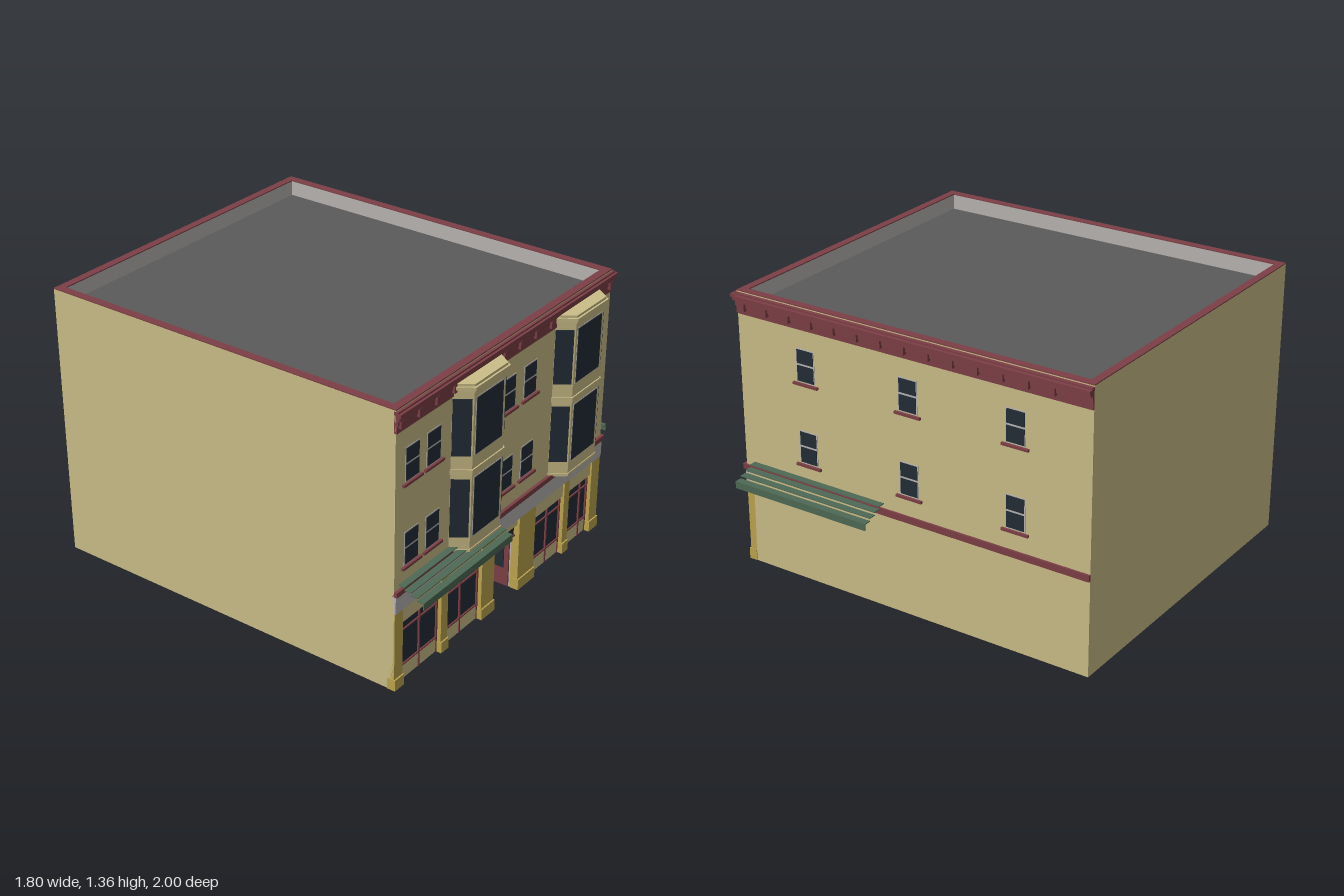
import * as THREE from 'three';

export function createModel() {
  const root = new THREE.Group();
  root.name = 'cornerShopBuilding';
  const mat = (name, color) => Object.assign(new THREE.MeshStandardMaterial({ color }), { name });
  const cream = mat('cream wall', 0xcbbe88);
  const ochre = mat('ochre pilaster', 0xbda54f);
  const red = mat('dark red trim', 0x7d3f46);
  const glass = mat('dark glass', 0x222c36);
  const grey = mat('light grey', 0xb9b5b2);
  const roofGrey = mat('roof grey', 0x5b5b5b);
  const green = mat('awning green', 0x4f6a56);

  const add = (parent, name, geo, m) => {
    const mesh = new THREE.Mesh(geo, m);
    mesh.name = name;
    parent.add(mesh);
    return mesh;
  };
  // Box given by its limits on each axis
  const box = (parent, name, m, x0, x1, y0, y1, z0, z1) => {
    const mesh = add(parent, name, new THREE.BoxGeometry(x1 - x0, y1 - y0, z1 - z0), m);
    mesh.position.set((x0 + x1) / 2, (y0 + y1) / 2, (z0 + z1) / 2);
    return mesh;
  };
  // Upright prism over a plan of [x, z] points, with an optional hole
  const slab = (parent, name, m, plan, y0, y1, hole) => {
    const toV = (p) => p.map(([x, z]) => new THREE.Vector2(x, -z));
    const shape = new THREE.Shape(toV(plan));
    if (hole) shape.holes.push(new THREE.Path(toV(hole)));
    const geo = new THREE.ExtrudeGeometry(shape, { depth: y1 - y0, bevelEnabled: false });
    geo.rotateX(-Math.PI / 2).translate(0, y0, 0);
    return add(parent, name, geo, m);
  };

  // Hollow shell; the back wall runs slightly askew
  const L = -0.9, R = 0.76, F = 0.87, H = 1.36;
  const plan = (t) => [[L + t, F - t], [R - t, F - t], [R - t, -0.985 + t], [L + t, -1 + t]];
  const openPlan = (a, b) => {
    const p = plan(a), q = plan(b);
    return [[p[0][0], 0.835], p[3], p[2], [p[1][0], 0.835], [q[1][0], 0.835], q[2], q[3], [q[0][0], 0.835]];
  };
  slab(root, 'upperWalls', cream, plan(0), 0.39, H - 0.005, plan(0.018));
  slab(root, 'upperWallLining', grey, plan(0.018), 0.39, H - 0.005, plan(0.035));
  slab(root, 'lowerWalls', cream, openPlan(0, 0.018), 0, 0.39);
  slab(root, 'lowerWallLining', grey, openPlan(0.018, 0.035), 0, 0.39);
  box(root, 'sideWallEnd', cream, R - 0.018, R, 0, 0.39, 0.835, F);
  box(root, 'sideWallEnd', cream, L, L + 0.018, 0, 0.39, 0.835, F);
  slab(root, 'parapetCoping', red, plan(0), H - 0.005, H, plan(0.038));
  slab(root, 'roof', roofGrey, plan(0.034), 1.27, 1.28);

  // Shop front: pilasters, windows and an open doorway
  const shop = new THREE.Group();
  shop.name = 'shopFront';
  root.add(shop);
  box(shop, 'innerFrontWall', grey, L + 0.035, -0.14, 0, 0.39, 0.825, 0.835);
  box(shop, 'innerFrontWall', grey, 0.06, R - 0.035, 0, 0.39, 0.825, 0.835);
  box(shop, 'doorHeader', cream, -0.14, 0.06, 0.345, 0.39, 0.825, 0.862);
  box(shop, 'transomGlass', glass, -0.135, 0.055, 0.29, 0.345, 0.84, 0.848);
  box(shop, 'transomBar', red, -0.14, 0.06, 0.283, 0.291, 0.838, 0.852);
  for (const [a, b] of [[L, -0.84], [-0.555, -0.505], [-0.24, -0.14], [0.06, 0.195], [0.445, 0.49], [0.69, R]]) {
    box(shop, 'pilaster', ochre, a, b, 0, 0.39, 0.835, 0.875);
    box(shop, 'pilasterBase', ochre, a - 0.003, b + 0.003, 0, 0.055, 0.84, 0.882);
  }
  for (const [a, b, mid] of [[-0.84, -0.555, -0.69], [-0.505, -0.24, -0.38], [0.195, 0.445, 0.33], [0.49, 0.69, 0.625]]) {
    box(shop, 'windowHeader', cream, a, b, 0.31, 0.39, 0.835, 0.866);
    box(shop, 'windowBase', cream, a, b, 0, 0.075, 0.835, 0.852);
    box(shop, 'shopGlass', glass, a, b, 0.075, 0.31, 0.84, 0.848);
    for (const x of [a + 0.004, mid, b - 0.004])
      box(shop, 'mullion', red, x - 0.004, x + 0.004, 0, 0.31, 0.845, 0.856);
    for (const y of [0.075, 0.255, 0.306])
      box(shop, 'glazingBar', red, a, b, y - 0.0035, y + 0.0035, 0.845, 0.855);
  }
  box(shop, 'openDoor', red, 0.05, 0.057, 0.005, 0.28, 0.67, 0.83);
  box(shop, 'doorGlass', glass, 0.046, 0.05, 0.1, 0.25, 0.695, 0.805);

  // Fascia and belt course
  box(root, 'fascia', grey, L, R, 0.39, 0.475, 0.86, 0.879);
  box(root, 'frontBelt', red, L, R + 0.01, 0.475, 0.5, 0.86, 0.885);
  box(root, 'sideBelt', red, R - 0.01, R + 0.01, 0.466, 0.498, -0.985, 0.87);

  // Cornice on the two street sides
  const steps = [[1.25, 1.285, 0.006], [1.285, 1.31, 0.011], [1.31, 1.325, 0.022], [1.325, 1.342, 0.03], [1.342, 1.35, 0.015]];
  for (const [y0, y1, d] of steps) {
    box(root, 'frontCornice', red, L, R + d * 0.6, y0, y1, 0.86, F + d * 0.8);
    box(root, 'sideCornice', red, R - 0.01, R + d * 1.2, y0, y1, -0.985, 0.857);
  }
  for (let i = 0; i < 14; i++) {
    const x = -0.88 + i * 0.124, z = 0.82 - i * 0.125;
    if (x < R) box(root, 'frontBracket', red, x - 0.008, x + 0.008, 1.272, 1.31, 0.865, 0.889);
    box(root, 'sideBracket', red, R - 0.005, R + 0.026, 1.272, 1.31, z - 0.008, z + 0.008);
  }

  // Sash window, facing +z at its own origin (bottom centre of the opening)
  const sash = (x, y, z, turn) => {
    const w = new THREE.Group();
    w.name = 'sashWindow';
    w.position.set(x, y, z);
    w.rotation.y = turn;
    box(w, 'frame', grey, -0.05, 0.05, -0.003, 0.158, -0.004, 0.002);
    box(w, 'lowerPane', glass, -0.045, 0.045, 0.002, 0.077, -0.004, 0.004);
    box(w, 'upperPane', glass, -0.045, 0.045, 0.087, 0.153, -0.004, 0.004);
    box(w, 'sill', red, -0.068, 0.068, -0.018, -0.006, -0.004, 0.012);
    root.add(w);
  };
  for (const y of [0.6, 1.0]) {
    for (const x of [-0.784, -0.633, -0.07, 0.097]) sash(x, y, F, 0);
    for (const z of [0.494, -0.062, -0.613]) sash(R, y, z, Math.PI / 2);
  }

  // Two-storey bay windows
  const bayPlan = (o) => [[-0.175 - o, 0.865], [-0.118 - o * 0.7, 0.943 + o], [0.118 + o * 0.7, 0.943 + o], [0.175 + o, 0.865]];
  for (const cx of [-0.335, 0.462]) {
    const bay = new THREE.Group();
    bay.name = 'bayWindow';
    bay.position.x = cx;
    root.add(bay);
    slab(bay, 'bayBody', cream, bayPlan(0), 0.5, 1.285);
    for (const [y0, y1, o] of [[0.458, 0.472, -0.06], [0.472, 0.486, -0.035], [0.486, 0.5, -0.012]])
      slab(bay, 'corbel', cream, bayPlan(o), y0, y1);
    for (const [y0, y1, o] of [[0.5, 0.512, 0.004], [0.88, 0.905, 0.006], [1.27, 1.285, 0.006], [1.285, 1.3, 0.015], [1.3, 1.312, 0.006]])
      slab(bay, 'moulding', cream, bayPlan(o), y0, y1);
    for (const [y0, y1] of [[0.572, 0.857], [0.97, 1.238]]) {
      box(bay, 'frontFrame', grey, -0.104, 0.104, y0 - 0.005, y1 + 0.005, 0.94, 0.9445);
      box(bay, 'frontGlass', glass, -0.099, 0.099, y0, y1, 0.94, 0.946);
      for (const s of [-1, 1]) {
        const side = add(bay, 'sideGlass', new THREE.BoxGeometry(0.082, y1 - y0, 0.006), glass);
        side.position.set(s * 0.1475, (y0 + y1) / 2, 0.905);
        side.rotation.y = s * Math.atan2(0.078, 0.057);
      }
    }
  }

  // Slatted awning, projecting along its own +z
  const awning = (name, width, x, z, turn, depth) => {
    const a = new THREE.Group();
    a.name = name;
    a.position.set(x, 0, z);
    a.rotation.y = turn;
    const h = width / 2, step = depth / 4;
    for (let i = 0; i < 4; i++) {
      const y = 0.522 - i * 0.014;
      box(a, 'slat', green, -h, h, y - 0.004, y, i * step - 0.002, (i + 1) * step);
    }
    box(a, 'valance', green, -h, h, 0.445, 0.48, depth - 0.004, depth);
    root.add(a);
  };
  awning('frontAwning', 0.67, -0.535, F, 0, 0.13);
  awning('sideAwning', 0.74, R, 0.45, Math.PI / 2, 0.14);

  return root;
}
